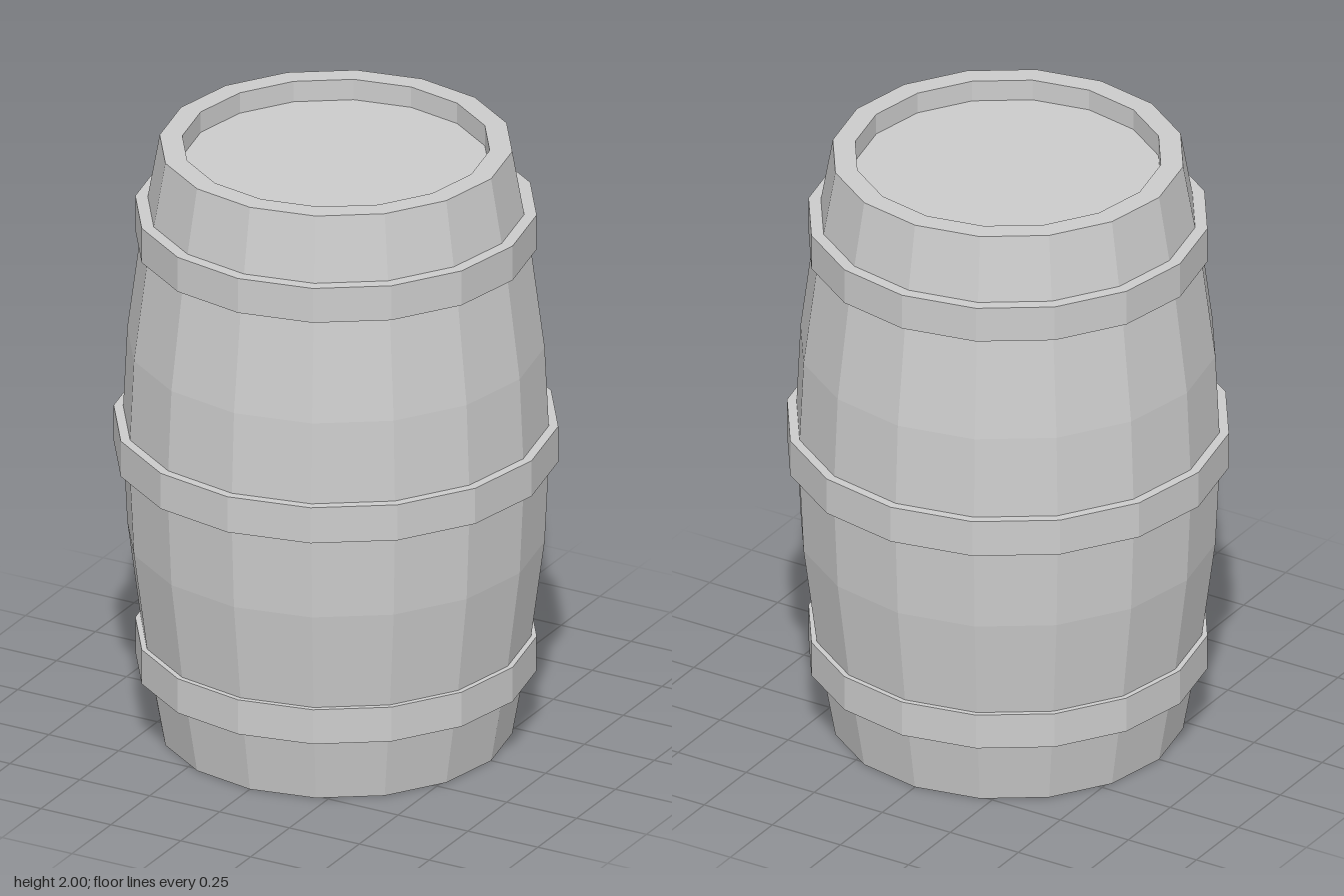
import * as THREE from 'three';

const SIDES = 16;

// Faceted solid of revolution from [radius, y] points, listed bottom to top on the outside
function turned(name, profile, material) {
  const points = profile.map(([r, y]) => new THREE.Vector2(r, y));
  const geometry = new THREE.LatheGeometry(points, SIDES).toNonIndexed();
  geometry.computeVertexNormals();
  const mesh = new THREE.Mesh(geometry, material);
  mesh.name = name;
  return mesh;
}

export function createModel() {
  const barrel = new THREE.Group();
  barrel.name = 'barrel';
  const grey = new THREE.MeshStandardMaterial({ color: 0xcccccc });
  grey.name = 'grey';

  // Bulging staves with a flat bottom and a recessed lid
  const profile = [[0, 0]];
  const rings = 6;
  for (let i = 0; i <= rings; i++) {
    const t = i / rings;
    profile.push([0.555 + 0.118 * Math.sin(Math.PI * t), 2 * t]);
  }
  profile.push([0.484, 2], [0.484, 1.93], [0, 1.93]);
  barrel.add(turned('body', profile, grey));

  // Three hoops, sunk into the staves
  const hoops = [
    ['lowerHoop', 0.22, 0.338, 0.632],
    ['middleHoop', 0.941, 1.063, 0.7],
    ['upperHoop', 1.668, 1.786, 0.632],
  ];
  for (const [name, y0, y1, r] of hoops) {
    const inner = r - 0.06;
    barrel.add(turned(name, [[inner, y0], [r, y0], [r, y1], [inner, y1], [inner, y0]], grey));
  }
  return barrel;
}
